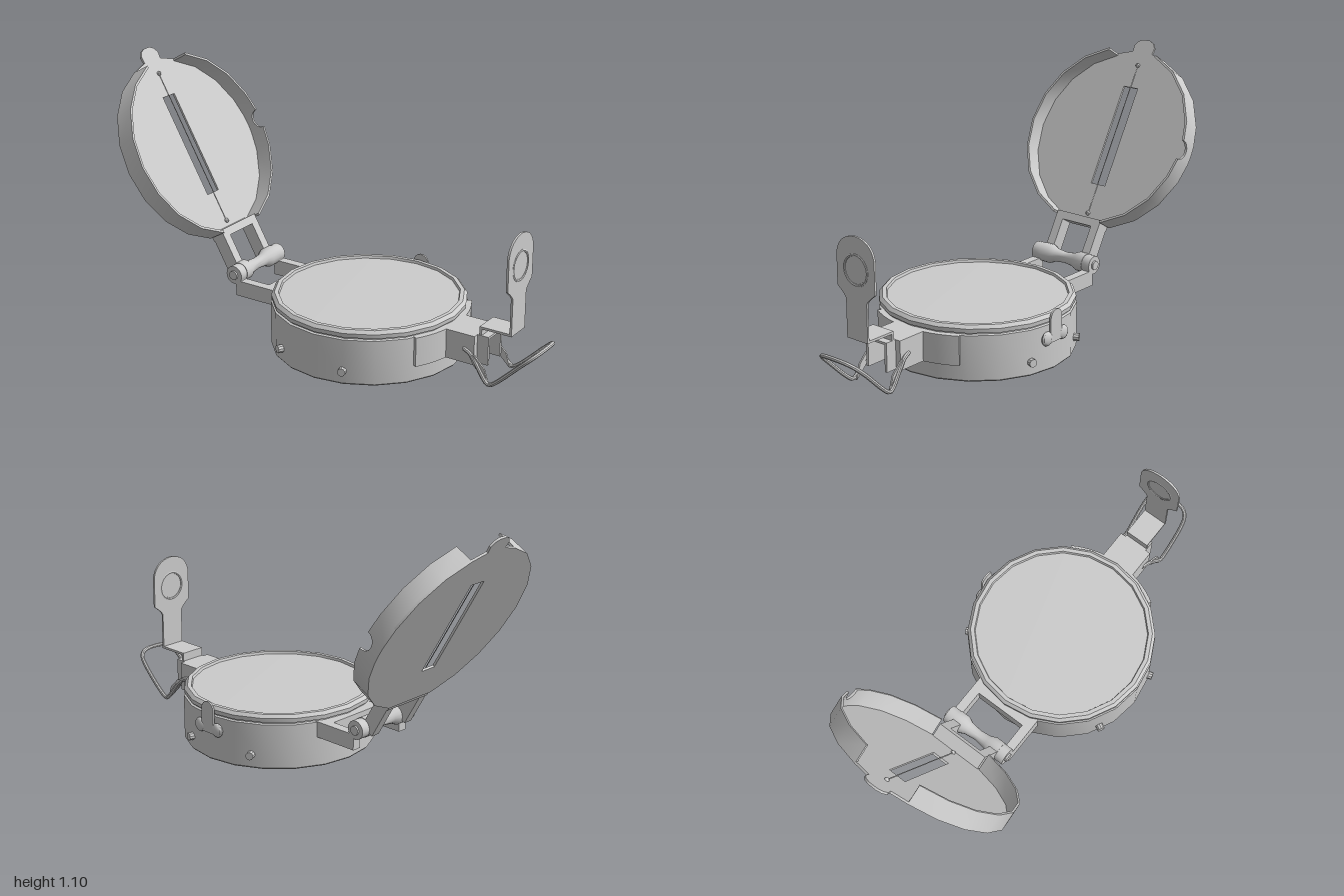
import * as THREE from 'three';
import { toCreasedNormals } from 'three/addons/utils/BufferGeometryUtils.js';

const mat = new THREE.MeshStandardMaterial({ color: 0xcccccc, side: THREE.DoubleSide });
const R = 0.41, CX = 0.165, SIDES = 20;
const V = (x, y, z) => new THREE.Vector3(x, y, z);

function add(parent, name, geo, x = 0, y = 0, z = 0) {
  const m = new THREE.Mesh(toCreasedNormals(geo, 0.6), mat);
  m.name = name;
  m.position.set(x, y, z);
  parent.add(m);
  return m;
}
// box from min/max corners
function box(parent, name, x0, x1, y0, y1, z0, z1) {
  return add(parent, name, new THREE.BoxGeometry(x1 - x0, y1 - y0, z1 - z0),
    (x0 + x1) / 2, (y0 + y1) / 2, (z0 + z1) / 2);
}
const poly = pts => new THREE.Shape(pts.map(p => new THREE.Vector2(...p)));
const extrude = (shape, depth) =>
  new THREE.ExtrudeGeometry(shape, { depth, bevelEnabled: false, curveSegments: 8 });
const lathe = (pts, n) => new THREE.LatheGeometry(pts.map(p => new THREE.Vector2(...p)), n);
const cylZ = (r, h, n = 16) => new THREE.CylinderGeometry(r, r, h, n).rotateX(Math.PI / 2);

// thin curved wall of the lid, with a rounded notch in its free edge
function rimWall(side, notched) {
  const deg = Math.PI / 180, nr = 0.042, cols = [];
  for (let a = -72; a <= 72; a += 18) if (a !== 0 || !notched) cols.push([a * deg, 0.087]);
  if (notched) {
    for (let i = 0; i <= 8; i++) {
      const t = (i / 8) * Math.PI;
      cols.push([-Math.cos(t) * nr / R, 0.087 - Math.sin(t) * nr]);
    }
    cols.push([-nr / R - 0.001, 0.087], [nr / R + 0.001, 0.087]);
  }
  cols.sort((a, b) => a[0] - b[0]);
  const ring = cols.map(([a, h]) => [[R, 0], [R, h], [R - 0.01, h], [R - 0.01, 0]]
    .map(([r, z]) => [side * r * Math.cos(a), r * Math.sin(a), z]));
  const pos = [];
  const quad = (a, b, c, d) => {
    const order = side > 0 ? [a, b, c, a, c, d] : [a, c, b, a, d, c];
    order.forEach(p => pos.push(...p));
  };
  for (let i = 0; i + 1 < ring.length; i++)
    for (let k = 0; k < 4; k++) {
      const j = (k + 1) % 4;
      quad(ring[i][k], ring[i + 1][k], ring[i + 1][j], ring[i][j]);
    }
  quad(...ring[0]);
  quad(...ring[ring.length - 1].slice().reverse());
  const g = new THREE.BufferGeometry();
  g.setAttribute('position', new THREE.Float32BufferAttribute(pos, 3));
  return g;
}

function makeBody() {
  const g = new THREE.Group();
  g.name = 'body';
  // case, bezel and recessed glass
  add(g, 'case', lathe([[0, 0], [0.405, 0], [R, 0.006], [R, 0.195], [0.4, 0.198], [0.4, 0.206], [0, 0.206]], SIDES), CX);
  add(g, 'bezel', lathe([[0.38, 0.204], [0.406, 0.204], [0.408, 0.222], [0.395, 0.235], [0.378, 0.235], [0.374, 0.222]], SIDES), CX);
  add(g, 'glass', lathe([[0.378, 0.206], [0.378, 0.224], [0, 0.226]], SIDES), CX);
  // case screws
  for (const s of [1, -1]) for (const x of [-0.03, 0.29]) {
    const dx = x - CX, z = s * Math.sqrt(R * R - dx * dx);
    const m = add(g, 'caseScrew', cylZ(0.017, 0.036, 10), x, 0.06, z);
    m.rotation.y = Math.atan2(dx, z);
  }
  // thumb latch at the back
  const tab = new THREE.Shape();
  tab.moveTo(-0.035, 0.12);
  tab.lineTo(0.035, 0.12);
  tab.lineTo(0.035, 0.22);
  tab.absarc(0, 0.22, 0.035, 0, Math.PI);
  add(g, 'latchTab', extrude(tab, 0.008), CX, 0, -0.418);
  box(g, 'latchBar', 0.115, 0.215, 0.125, 0.155, -0.418, -0.395);
  for (const s of [-1, 1])
    add(g, 'latchKnob', new THREE.SphereGeometry(0.03, 12, 8).scale(1, 1, 0.5), CX + s * 0.05, 0.14, -0.41);
  return g;
}

function makeHinge() {
  const g = new THREE.Group();
  g.name = 'hinge';
  for (const s of [-1, 1]) {
    box(g, 'hingeArm', -0.41, -0.2, 0.13, 0.198, s * 0.138 - 0.02, s * 0.138 + 0.02);
    add(g, 'hingeEye', cylZ(0.04, 0.04), -0.42, 0.22, s * 0.138);
    add(g, 'hingePin', cylZ(0.02, 0.012, 12), -0.42, 0.22, s * 0.16);
    box(g, 'hingeKnuckle', -0.41, -0.385, 0.14, 0.22, s * 0.138 - 0.02, s * 0.138 + 0.02);
  }
  box(g, 'hingeCrosspiece', -0.265, -0.19, 0.13, 0.198, -0.158, 0.158);
  const spool = lathe([[0, -0.118], [0.042, -0.118], [0.042, -0.075], [0.03, -0.05], [0.024, 0],
    [0.03, 0.05], [0.042, 0.075], [0.042, 0.118], [0, 0.118]], 16).rotateX(Math.PI / 2);
  add(g, 'hingeSpool', spool, -0.42, 0.22, 0);
  return g;
}

// lid in its own plane: x across, y towards the tip, z towards the rim side
function makeLid() {
  const g = new THREE.Group();
  g.name = 'lid';
  const right = [];
  for (let a = -72; a <= 72; a += 18) {
    const t = a * Math.PI / 180;
    right.push([R * Math.cos(t), R * Math.sin(t)]);
  }
  right.push([0.052, 0.412], [0.055, 0.44], [0.04, 0.462], [0.018, 0.472]);
  const left = right.map(([x, y]) => [-x, y]).reverse();
  const plate = poly([...right, ...left]);
  plate.holes.push(poly([[-0.038, -0.214], [-0.038, 0.246], [0.038, 0.246], [0.038, -0.214]]));
  add(g, 'lidPlate', extrude(plate, 0.01));
  add(g, 'lidRim', rimWall(1, true));
  add(g, 'lidRim', rimWall(-1, false));
  // sighting wire and its two anchors
  add(g, 'sightWire', new THREE.CylinderGeometry(0.002, 0.002, 0.7, 6), 0, 0, 0.012);
  for (const y of [-0.35, 0.35]) add(g, 'wireAnchor', new THREE.SphereGeometry(0.01, 10, 8), 0, y, 0.012);
  // fork that reaches the hinge
  for (const s of [-1, 1])
    box(g, 'lidArm', s * 0.098 - 0.02, s * 0.098 + 0.02, -0.565, -0.375, 0.008, 0.07);
  box(g, 'lidArmBridge', -0.118, 0.118, -0.41, -0.375, 0.004, 0.07);
  const u = V(-0.5, 0.866, 0), n = V(0.866, 0.5, 0);
  g.setRotationFromMatrix(new THREE.Matrix4().makeBasis(V(0, 0, -1), u, n));
  g.position.set(-0.762, 0.682, 0);
  return g;
}

function makeSight() {
  const g = new THREE.Group();
  g.name = 'sightBracket';
  // curved mounting plate
  const arc = new THREE.Shape();
  arc.absarc(0, 0, 0.424, -0.55, 0.55, false);
  arc.absarc(0, 0, 0.402, 0.55, -0.55, true);
  add(g, 'mountPlate', extrude(arc, 0.125).rotateX(-Math.PI / 2), CX, 0.073, 0);
  // cheeks and core holding the eyepiece
  for (const s of [-1, 1])
    box(g, 'bracketCheek', 0.565, 0.71, 0.073, 0.198, s * 0.068 - 0.012, s * 0.068 + 0.012);
  for (const s of [-1, 1])
    box(g, 'eyepieceCheek', 0.64, 0.76, 0.075, 0.198, s * 0.05 - 0.006, s * 0.05 + 0.006);
  box(g, 'bracketBack', 0.565, 0.6, 0.073, 0.198, -0.08, 0.08);
  box(g, 'bracketTop', 0.58, 0.76, 0.188, 0.198, -0.056, 0.056);
  // folded lens arm
  box(g, 'lensArmRiser', 0.718, 0.728, 0.19, 0.235, -0.055, 0.055);
  box(g, 'lensArmFoot', 0.718, 0.86, 0.225, 0.235, -0.055, 0.055);
  const head = new THREE.Shape();
  head.moveTo(-0.055, 0.226);
  head.lineTo(0.055, 0.226);
  head.lineTo(0.055, 0.385);
  head.quadraticCurveTo(0.06, 0.4, 0.1, 0.43);
  head.lineTo(0.1, 0.565);
  head.quadraticCurveTo(0.085, 0.64, 0, 0.645);
  head.quadraticCurveTo(-0.085, 0.64, -0.1, 0.565);
  head.lineTo(-0.1, 0.43);
  head.quadraticCurveTo(-0.06, 0.4, -0.055, 0.385);
  const hole = new THREE.Path();
  hole.absarc(0, 0.51, 0.06, 0, Math.PI * 2, true);
  head.holes.push(hole);
  add(g, 'lensHolder', extrude(head, 0.009).rotateY(Math.PI / 2), 0.851, 0, 0);
  add(g, 'lensRing', new THREE.TorusGeometry(0.061, 0.007, 8, 24).rotateY(Math.PI / 2), 0.856, 0.51, 0);
  add(g, 'lens', new THREE.CylinderGeometry(0.058, 0.058, 0.006, 24).rotateZ(Math.PI / 2), 0.856, 0.51, 0);
  // bent wire thumb loop
  const half = [[0.66, 0.135, 0.078], [0.7, 0.12, 0.088], [0.78, 0.022, 0.1], [0.795, 0.018, 0.1],
    [0.93, 0.138, 0.1], [0.965, 0.17, 0.088], [0.982, 0.185, 0.06]];
  const path = [...half.map(p => V(...p)), V(0.988, 0.19, 0),
    ...half.map(([x, y, z]) => V(x, y, -z)).reverse()];
  const curve = new THREE.CatmullRomCurve3(path, false, 'centripetal');
  add(g, 'thumbLoop', new THREE.TubeGeometry(curve, 80, 0.009, 8));
  // flat lugs where the loop meets the bracket
  const lug = poly([[0.69, 0.125], [0.715, 0.08], [0.785, 0.012], [0.765, 0.075], [0.72, 0.12]]);
  for (const s of [-1, 1]) add(g, 'loopLug', extrude(lug, 0.008), 0, 0, s * 0.09 - 0.004);
  return g;
}

export function createModel() {
  const model = new THREE.Group();
  model.name = 'compass';
  model.add(makeBody(), makeHinge(), makeLid(), makeSight());
  return model;
}
